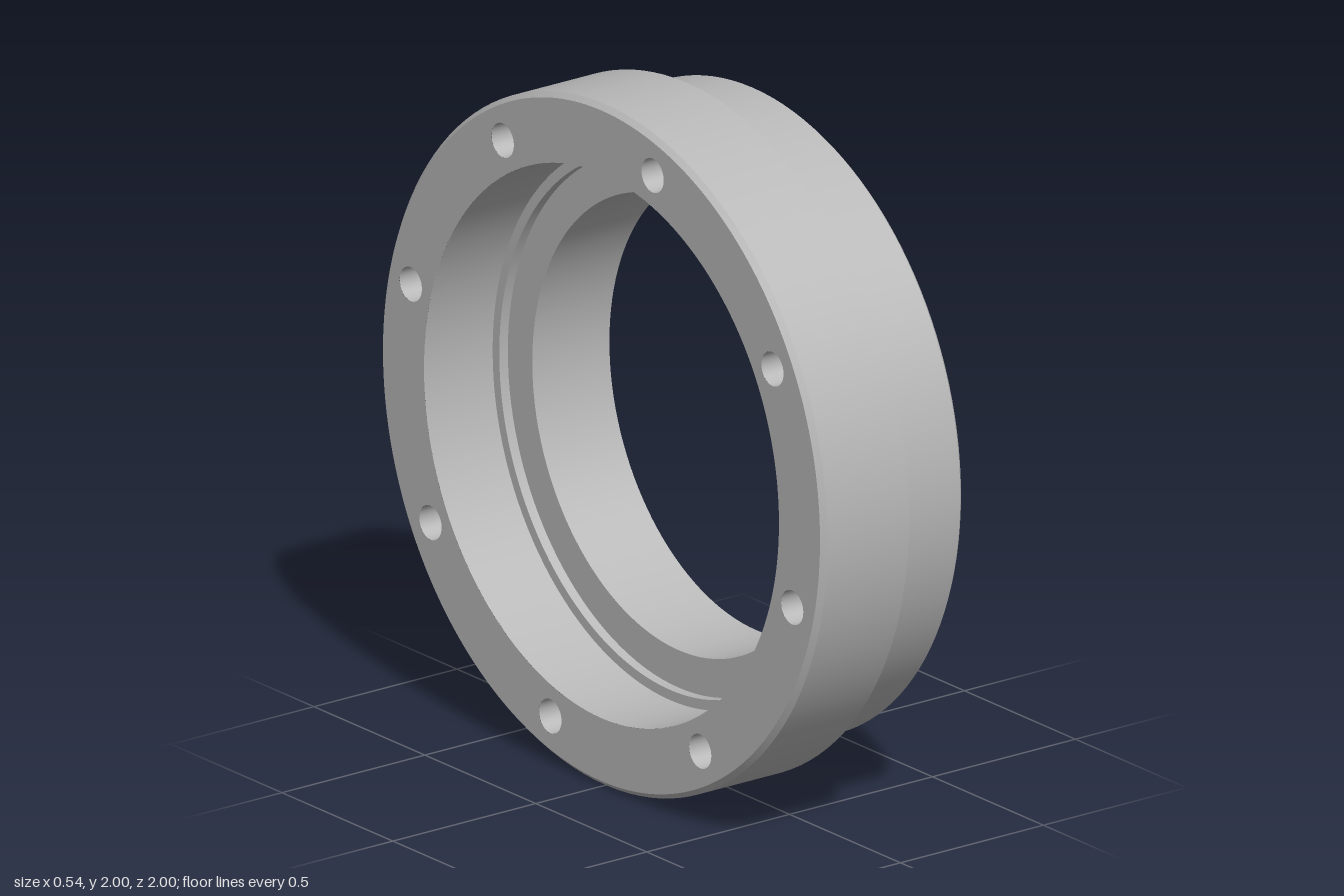
import * as THREE from 'three';
import { mergeGeometries } from 'three/addons/utils/BufferGeometryUtils.js';

const BACK = -0.27, FRONT = 0.27, STEP = 0.03;

// Turns [radius, x] points around the x axis, with a sharp edge at every point
function turned(points, segments) {
  const bands = [];
  for (let i = 0; i < points.length - 1; i++) {
    const pair = [points[i], points[i + 1]].map(([r, x]) => new THREE.Vector2(r, x));
    bands.push(new THREE.LatheGeometry(pair, segments));
  }
  return mergeGeometries(bands).rotateZ(-Math.PI / 2);
}

export function createModel() {
  const model = new THREE.Group();
  model.name = 'flangedRing';
  const metal = new THREE.MeshStandardMaterial({ color: 0xb8b8b8 });
  metal.name = 'plain grey';

  const add = (name, geometry) => {
    const mesh = new THREE.Mesh(geometry, metal);
    mesh.name = name;
    mesh.position.y = 1;
    model.add(mesh);
    return mesh;
  };

  // Wide flange with a chamfered back edge and a flat shoulder
  add('flange', turned([[0.985, BACK], [1, BACK + 0.015], [1, STEP], [0.935, STEP]], 128));

  // Narrower boss with a small chamfer and flat end face
  add('boss', turned([[0.935, STEP], [0.935, FRONT - 0.01], [0.925, FRONT], [0.66, FRONT]], 128));

  // Through bore, opening in two steps into the wide counterbore
  add('bore', turned([[0.66, FRONT], [0.66, 0]], 128));
  add('counterbore', turned([[0.66, 0], [0.77, 0], [0.77, -0.03], [0.8, -0.03], [0.8, BACK]], 128));

  // Back face pierced by eight bolt holes
  const face = new THREE.Shape().absarc(0, 0, 0.985, 0, Math.PI * 2);
  const cut = (x, y, r) => face.holes.push(new THREE.Path().absarc(x, y, r, 0, Math.PI * 2, true));
  cut(0, 0, 0.8);

  const holeRadius = 0.05, holeEnd = BACK + 0.22;
  const pocket = turned([[0, holeEnd], [holeRadius, holeEnd], [holeRadius, BACK]], 32);
  for (let i = 0; i < 8; i++) {
    const angle = Math.PI / 6 + i * Math.PI / 4;
    const z = 0.89 * Math.cos(angle), y = 0.89 * Math.sin(angle);
    cut(z, y, holeRadius);
    add('boltHole', pocket).position.set(0, 1 + y, z);
  }
  add('backFace', new THREE.ShapeGeometry(face, 128).rotateY(-Math.PI / 2).translate(BACK, 0, 0));

  return model;
}
